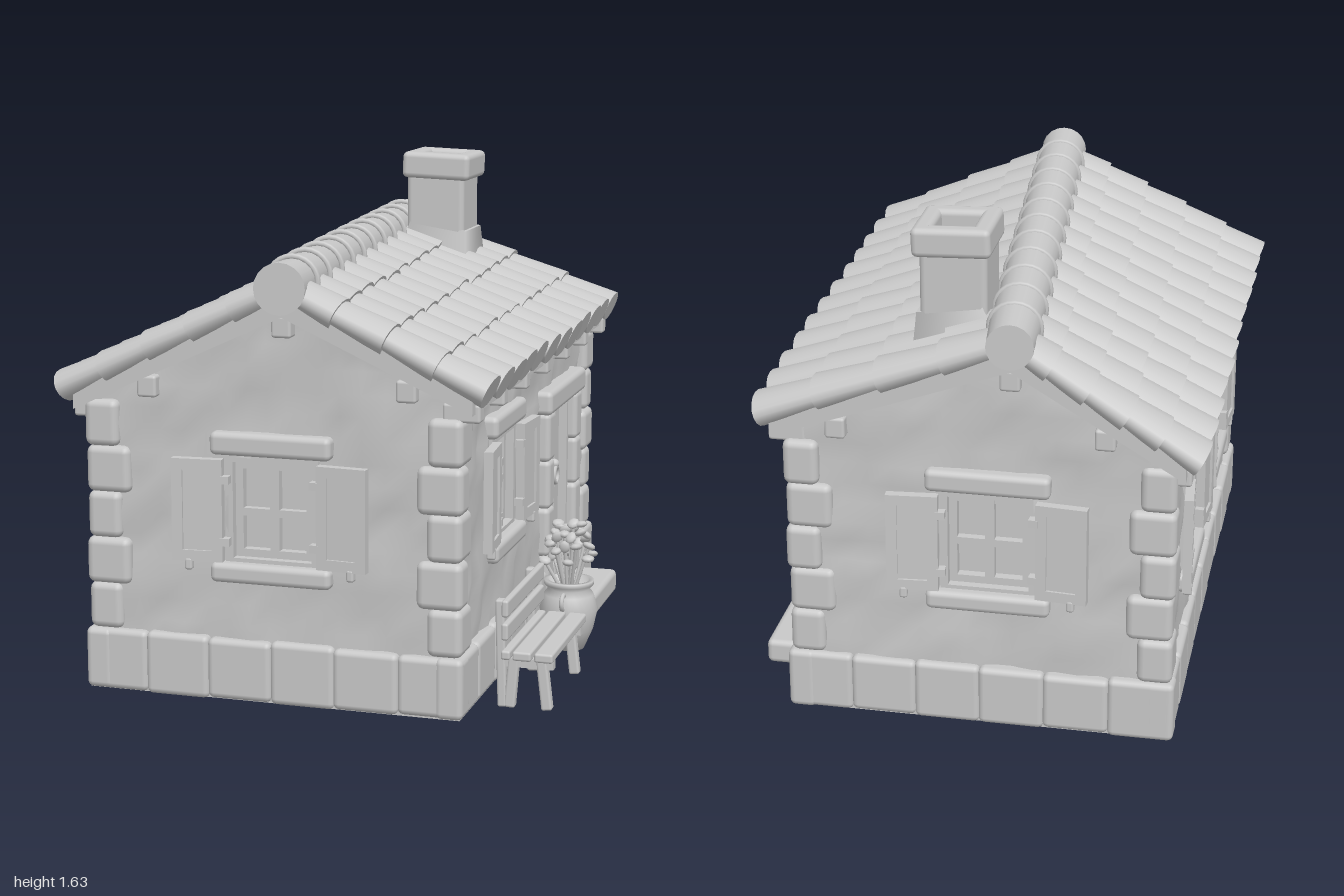
import * as THREE from 'three';
import { RoundedBoxGeometry } from 'three/addons/geometries/RoundedBoxGeometry.js';
import { ConvexGeometry } from 'three/addons/geometries/ConvexGeometry.js';

const clay = new THREE.MeshStandardMaterial({ color: 0xc8c8c8 });
clay.name = 'clay';

let seed = 7;
const rand = () => (seed = (seed * 16807) % 2147483647) / 2147483647;
const jit = (a) => (rand() - 0.5) * 2 * a;

function add(parent, name, geo, x = 0, y = 0, z = 0) {
  const m = new THREE.Mesh(geo, clay);
  m.name = name;
  m.position.set(x, y, z);
  parent.add(m);
  return m;
}
function group(parent, name, x = 0, y = 0, z = 0) {
  const g = new THREE.Group();
  g.name = name;
  g.position.set(x, y, z);
  parent.add(g);
  return g;
}
const box = (p, name, w, h, d, x, y, z) => add(p, name, new THREE.BoxGeometry(w, h, d), x, y, z);
const stone = (p, name, w, h, d, x, y, z, r = 0.02) =>
  add(p, name, new RoundedBoxGeometry(w, h, d, 2, Math.min(r, w / 2.1, h / 2.1, d / 2.1)), x, y, z);

// Roof line: the ridge runs slightly askew
const EAVE_L = [-0.77, 0.99], EAVE_R = [0.6, 1.04], RIDGE_Y = 1.33;
const ridgeX = (z) => -0.1175 + 0.0825 * z;
function roofY(x, z) {
  const rx = ridgeX(z), [ex, ey] = x < rx ? EAVE_L : EAVE_R;
  return RIDGE_Y + ((x - rx) / (ex - rx)) * (ey - RIDGE_Y);
}

// Split the spans between breakpoints into steps of about the given size
function steps(breaks, size) {
  const out = [breaks[0]];
  for (let i = 1; i < breaks.length; i++) {
    const a = breaks[i - 1], b = breaks[i], n = Math.max(1, Math.round((b - a) / size));
    for (let k = 1; k <= n; k++) out.push(a + ((b - a) * k) / n);
  }
  return out;
}

// Uneven plaster panel with rectangular openings [u0, v0, u1, v1]
function plaster(parent, u0, u1, top, holes, extra = []) {
  const sorted = (a) => [...new Set(a)].sort((p, q) => p - q);
  const us = steps(sorted([u0, u1, ...extra, ...holes.flatMap((h) => [h[0], h[2]])]), 0.075);
  const vs = steps(sorted([0.1, 1.3, ...holes.flatMap((h) => [h[1], h[3]])]), 0.075);
  const pos = [], index = [], n = us.length;
  for (const v of vs) for (const u of us) pos.push(u, Math.min(v, top(u)), jit(0.011));
  for (let j = 0; j < vs.length - 1; j++) for (let i = 0; i < n - 1; i++) {
    const cu = (us[i] + us[i + 1]) / 2, cv = (vs[j] + vs[j + 1]) / 2;
    if (holes.some((h) => cu > h[0] && cu < h[2] && cv > h[1] && cv < h[3])) continue;
    if (vs[j] >= top(us[i]) && vs[j] >= top(us[i + 1])) continue;
    const a = j * n + i;
    index.push(a, a + 1, a + n + 1, a, a + n + 1, a + n);
  }
  const g = new THREE.BufferGeometry();
  g.setAttribute('position', new THREE.Float32BufferAttribute(pos, 3));
  g.setIndex(index);
  g.computeVertexNormals();
  add(parent, 'plasterWall', g);
}

// Four bars around a rectangle
function frame(p, name, w, h, t, d, z) {
  for (const s of [-1, 1]) {
    box(p, name, t, h, d, s * (w - t) / 2, 0, z);
    box(p, name, w - 2 * t, t, d, 0, s * (h - t) / 2, z);
  }
}

const WIN_W = 0.29, WIN_H = 0.34;
const hole = ([u, v]) => [u - WIN_W / 2, v - WIN_H / 2, u + WIN_W / 2, v + WIN_H / 2];
function windowUnit(parent, [u, v]) {
  const g = group(parent, 'window', u, v, 0);
  frame(g, 'windowReveal', WIN_W + 0.02, WIN_H + 0.02, 0.025, 0.055, -0.02);
  frame(g, 'windowSash', 0.26, 0.31, 0.025, 0.03, -0.035);
  box(g, 'mullion', 0.03, 0.3, 0.03, 0, 0, -0.034);
  box(g, 'transom', 0.25, 0.025, 0.026, 0, -0.01, -0.034);
  stone(g, 'lintel', 0.4, 0.075, 0.07, 0, 0.215, 0.002);
  stone(g, 'sill', 0.4, 0.065, 0.075, 0, -0.2, 0.004);
  for (const s of [-1, 1]) {
    const sh = group(g, 'shutter', s * 0.15, 0, 0.012);
    sh.rotation.y = -s * 0.08;
    const leaf = group(sh, 'shutterLeaf', s * 0.09, 0, 0.012);
    box(leaf, 'shutterPanel', 0.14, 0.3, 0.014, 0, 0, 0);
    frame(leaf, 'shutterFrame', 0.165, 0.33, 0.035, 0.03, 0);
    stone(leaf, 'shutterCatch', 0.025, 0.04, 0.03, s * 0.03, -0.175, 0.002, 0.008);
    for (const y of [-0.1, 0.1]) box(sh, 'hinge', 0.03, 0.025, 0.03, 0, y, 0.014);
  }
}

// One side of the house; u runs to the right as seen from outside
function wall(root, name, x, z, rot, u0, u1, top, wins, extra, door) {
  const g = group(root, name, x, 0, z);
  g.rotation.y = rot;
  plaster(g, u0, u1, top, [...wins.map(hole), ...(door ? [door] : [])], extra);
  wins.forEach((w) => windowUnit(g, w));
  const n = Math.round((u1 - u0) / 0.2), len = (u1 - u0 + 0.06) / n;
  for (let i = 0; i < n; i++)
    stone(g, 'baseStone', len + 0.004, 0.2 + jit(0.008), 0.09, u0 - 0.03 + len * (i + 0.5), 0.1, -0.015 + jit(0.003));
  return g;
}

// Plank door with stone surround and step
function buildDoor(g, [a, b, c, d]) {
  const mid = (a + c) / 2, w = c - a;
  for (let i = 0; i < 4; i++)
    box(g, 'doorPlank', w / 4 - 0.005, d - b, 0.03, a + (w / 4) * (i + 0.5), (b + d) / 2, -0.042 + (i % 2) * 0.004);
  box(g, 'doorHead', w, 0.03, 0.05, mid, d - 0.015, -0.02);
  for (const s of [-1, 1]) {
    box(g, 'doorJamb', 0.03, d - b, 0.055, mid + s * (w / 2 - 0.01), (b + d) / 2, -0.02);
    for (let k = 0; k < 4; k++)
      stone(g, 'doorStone', 0.085 + (k % 2) * 0.012, 0.175, 0.08, mid + s * (w / 2 + 0.04), 0.165 + k * 0.17, 0);
  }
  stone(g, 'doorLintel', 0.56, 0.085, 0.09, mid, 0.8, 0.005);
  stone(g, 'doorStep', 0.54, 0.085, 0.22, mid, 0.0425, 0.07);
  add(g, 'knockerRing', new THREE.TorusGeometry(0.03, 0.008, 8, 20), 0.5, 0.475, -0.012);
  add(g, 'knockerBoss', new THREE.SphereGeometry(0.018, 12, 8), 0.5, 0.515, -0.018);
}

function buildRoof(root) {
  const roof = group(root, 'roof');
  for (const [ex, ey, rows, inset] of [[...EAVE_L, 5, 0.03], [...EAVE_R, 4, -0.03]]) {
    // Sloping deck whose ends show as gable boards
    const pts = [];
    for (const z of [-0.965, 0.965]) for (const dy of [0, -0.085]) {
      pts.push(new THREE.Vector3(ridgeX(z), RIDGE_Y + dy, z), new THREE.Vector3(ex + inset, ey + dy + 0.015, z));
    }
    add(roof, 'roofDeck', new ConvexGeometry(pts));
    // Tapered barrel tiles, each overlapping the one below
    for (let c = 0; c < 12; c++) {
      const z = -0.9075 + c * 0.165, rx = ridgeX(z);
      const dx = rx - ex, dy = RIDGE_Y - ey, L = Math.hypot(dx, dy), len = L / rows;
      for (let r = 0; r < rows; r++) {
        const t = (r + 0.5) / rows + jit(0.008);
        const geo = new THREE.CylinderGeometry(0.07, 0.087, len + 0.03, 16);
        const m = add(roof, 'roofTile', geo, ex + dx * t, ey + dy * t + 0.004, z + jit(0.003));
        m.scale.x = 0.62;
        m.rotation.z = Math.atan2(-dx, dy) + jit(0.02);
      }
    }
    // Rafter ends under the eaves
    for (let k = -3; k <= 3; k++)
      stone(roof, 'rafterEnd', 0.12, 0.06, 0.055, ex - Math.sign(ex) * 0.075, ey - 0.07, k * 0.3, 0.01);
  }
  // Purlin ends under the gables
  for (const s of [-1, 1]) for (const px of [-0.49, ridgeX(s * 0.93), 0.36])
    stone(roof, 'purlinEnd', 0.065, 0.07, 0.07, px, roofY(px, s * 0.93) - 0.115, s * 0.93, 0.01);
  // Ridge tiles with collars
  const ridge = group(roof, 'ridge', ridgeX(0), RIDGE_Y + 0.006, 0);
  ridge.rotation.y = Math.atan(0.0825);
  for (let i = 0; i < 12; i++) {
    const z = -0.9075 + i * 0.165;
    add(ridge, 'ridgeTile', new THREE.CylinderGeometry(0.082, 0.074, 0.17, 20), 0, 0, z).rotation.x = Math.PI / 2;
    if (i < 11)
      add(ridge, 'ridgeCollar', new THREE.TorusGeometry(0.08, 0.01, 8, 24), 0, 0, z + 0.08);
  }
}

function buildChimney(root) {
  const g = group(root, 'chimney', 0.02, 0, -0.665);
  stone(g, 'chimneyShaft', 0.215, 0.42, 0.215, 0, 1.34, 0);
  const flare = add(g, 'chimneyFlare', new THREE.CylinderGeometry(0.15, 0.2, 0.16, 4).rotateY(Math.PI / 4), 0, 1.28, 0);
  flare.rotation.z = -0.15;
  const cap = group(g, 'chimneyCap', 0.005, 1.578, 0);
  cap.rotation.z = -0.035;
  for (const s of [-1, 1]) {
    stone(cap, 'capStone', 0.062, 0.095, 0.25, s * 0.095, 0, 0);
    stone(cap, 'capStone', 0.25, 0.095, 0.06, 0, 0, s * 0.095);
  }
}

function buildBench(root) {
  const g = group(root, 'bench', 0, 0, 0.55);
  for (const x of [0.69, 0.76]) stone(g, 'seatSlat', 0.06, 0.03, 0.5, x, 0.18, 0, 0.008);
  stone(g, 'seatSlat', 0.03, 0.03, 0.5, 0.638, 0.18, 0, 0.008);
  for (const y of [0.255, 0.33]) stone(g, 'backSlat', 0.022, 0.055, 0.5, 0.635, y, 0, 0.008);
  for (const z of [-0.2, 0.2]) {
    stone(g, 'backPost', 0.03, 0.35, 0.035, 0.615, 0.175, z, 0.008).rotation.z = 0.03;
    stone(g, 'frontLeg', 0.035, 0.17, 0.035, 0.755, 0.085, z, 0.008).rotation.z = 0.12;
    stone(g, 'rearLeg', 0.035, 0.17, 0.035, 0.65, 0.085, z, 0.008).rotation.z = -0.08;
    box(g, 'seatBearer', 0.17, 0.03, 0.03, 0.7, 0.15, z);
  }
}

function buildPlant(root) {
  const g = group(root, 'pottedPlant', 0.675, 0, 0.055);
  const profile = [[0, 0], [0.055, 0], [0.085, 0.07], [0.1, 0.14], [0.085, 0.19], [0.07, 0.21], [0.085, 0.225],
    [0.085, 0.24], [0.07, 0.24], [0.062, 0.215], [0, 0.215]].map(([x, y]) => new THREE.Vector2(x, y));
  add(g, 'pot', new THREE.LatheGeometry(profile, 28));
  for (const s of [-1, 1])
    add(g, 'potHandle', new THREE.TorusGeometry(0.025, 0.008, 8, 16), 0, 0.18, s * 0.09).rotation.y = Math.PI / 2;
  for (let i = 0; i < 34; i++) {
    const a = i * 2.4, t = (i + 0.5) / 34, r = 0.088 * Math.sqrt(t);
    const x = r * Math.cos(a), z = r * Math.sin(a), y = 0.43 - 0.14 * t * t + jit(0.02);
    const leaf = add(g, 'petal', new THREE.SphereGeometry(0.023, 8, 6), x, y, z);
    leaf.scale.set(1, 0.5, 0.85);
    leaf.rotation.set(jit(0.8), a, jit(0.8));
    if (i % 3 === 0) {
      const path = new THREE.LineCurve3(new THREE.Vector3(x * 0.3, 0.2, z * 0.3), new THREE.Vector3(x, y, z));
      add(g, 'stem', new THREE.TubeGeometry(path, 1, 0.006, 6));
    }
  }
}

export function createModel() {
  const root = new THREE.Group();
  root.name = 'cottage';

  // Solid core behind the plaster
  const pts = [];
  for (const z of [-0.875, 0.875]) for (const x of [-0.64, ridgeX(z), 0.46])
    pts.push(new THREE.Vector3(x, 0, z), new THREE.Vector3(x, roofY(x, z) - 0.06, z));
  add(root, 'wallCore', new ConvexGeometry(pts));
  box(root, 'floor', 1.24, 0.04, 1.88, -0.09, 0.02, 0);

  const Z = 0.925, XL = -0.69, XR = 0.51, door = [0.26, 0.085, 0.61, 0.76];
  wall(root, 'frontWall', 0, Z, 0, XL, XR, (u) => roofY(u, Z) - 0.04, [[-0.085, 0.62]], [ridgeX(Z)]);
  wall(root, 'backWall', 0, -Z, Math.PI, -XR, -XL, (u) => roofY(-u, -Z) - 0.04, [[0.12, 0.64]], [-ridgeX(-Z)]);
  wall(root, 'leftHandWall', XL, 0, -Math.PI / 2, -Z, Z, () => 0.99, [[-0.4, 0.58], [0.33, 0.62]], []);
  const right = wall(root, 'doorWall', XR, 0, Math.PI / 2, -Z, Z, () => 1.03, [[-0.355, 0.635]], [], door);
  buildDoor(right, door);

  // Alternating corner stones
  for (const sz of [-1, 1]) for (const [cx, sx] of [[XL, -1], [XR, 1]]) for (let k = 0; k < 5; k++) {
    const a = k % 2 ? 0.15 : 0.115, b = k % 2 ? 0.1 : 0.14, o = 0.024 + jit(0.005);
    stone(root, 'cornerStone', a, 0.153, b, cx + sx * (o - a / 2), 0.275 + k * 0.15, sz * (Z + o - b / 2), 0.025);
  }

  buildRoof(root);
  buildChimney(root);
  buildBench(root);
  buildPlant(root);
  return root;
}
